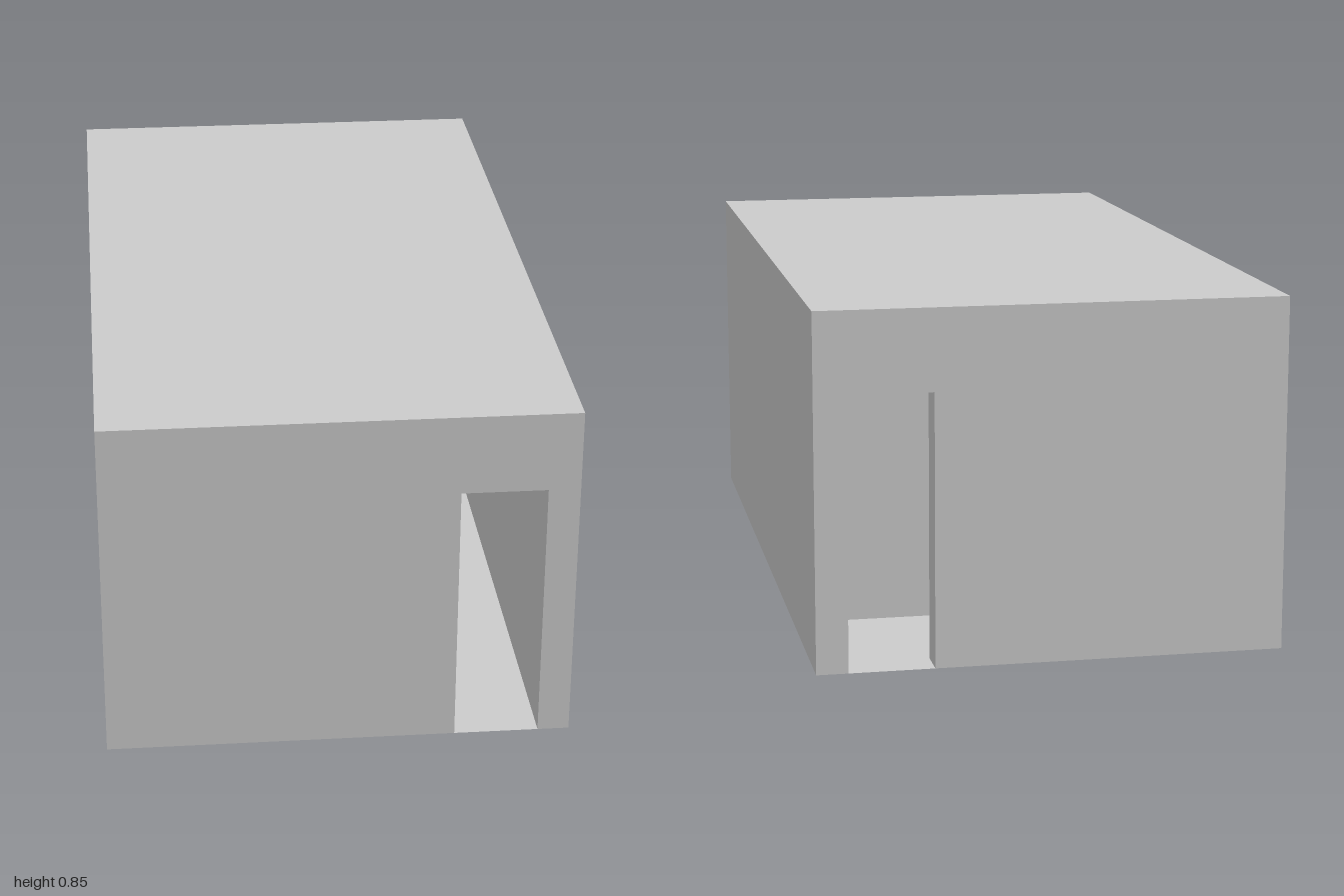
import * as THREE from 'three';

const X = 0.56, Z = 1, H = 0.853;             // outer half width, half length, height
const IX = 0.484, IZ = 0.92, CEIL = 0.832;    // inner room limits
const DOOR = 0.28, DOOR_H = 0.657;            // inner door edge and door height
const P0 = -0.57, P1 = -0.5;                  // partition faces

const material = new THREE.MeshStandardMaterial({ color: 0xcccccc, side: THREE.DoubleSide });

export function createModel() {
  const model = new THREE.Group();

  const add = (name, geometry) => {
    const mesh = new THREE.Mesh(geometry, material);
    mesh.name = name;
    model.add(mesh);
  };
  const outline = (points) =>
    new THREE.ShapeGeometry(new THREE.Shape(points.map(([a, b]) => new THREE.Vector2(a, b))));
  const rect = (a0, b0, a1, b1) => outline([[a0, b0], [a1, b0], [a1, b1], [a0, b1]]);

  // Sheet across the building at z, facing +z or -z
  const across = (name, points, z, facing) => {
    const g = outline(points);
    if (facing < 0) g.rotateY(Math.PI).scale(-1, 1, 1).index.array.reverse();
    add(name, g.translate(0, 0, z));
  };
  // Sheet along the building at x, from z0 to z1, facing +x or -x
  const along = (name, x, z0, z1, h, facing) => {
    const g = new THREE.PlaneGeometry(z1 - z0, h).rotateY(facing * Math.PI / 2);
    add(name, g.translate(x, h / 2, (z0 + z1) / 2));
  };
  // Level sheet at y, facing up or down
  const level = (name, x0, z0, x1, z1, y, facing) => {
    const g = new THREE.PlaneGeometry(x1 - x0, z1 - z0).rotateX(-facing * Math.PI / 2);
    add(name, g.translate((x0 + x1) / 2, y, (z0 + z1) / 2));
  };

  // Roof and ceiling
  level('roof', -X, -Z, X, Z, H, 1);
  level('mainCeiling', -IX, P1, IX, IZ, CEIL, -1);
  level('smallCeiling', -IX, -IZ, IX, P0, CEIL, -1);

  // Floor reaching through all three doorways, left open under the hollow walls
  const floor = outline([
    [-IX, -IZ], [DOOR, -IZ], [DOOR, -Z], [IX, -Z], [IX, P0], [-DOOR, P0],
    [-DOOR, P1], [IX, P1], [IX, Z], [DOOR, Z], [DOOR, IZ], [-IX, IZ],
  ]);
  add('floor', floor.rotateX(Math.PI / 2));

  // Side walls, outer and inner skins
  along('leftOuterWall', X, -Z, Z, H, 1);
  along('rightOuterWall', -X, -Z, Z, H, -1);
  along('rightInnerWall', -IX, -IZ, IZ, CEIL, 1);
  along('leftInnerWallMain', IX, P1, IZ, CEIL, -1);
  along('leftInnerWallSmall', IX, -IZ, P0, CEIL, -1);

  // End walls with their doorways
  for (const [end, s] of [['front', 1], ['back', -1]]) {
    across(end + 'OuterWall', [
      [-X, 0], [DOOR, 0], [DOOR, DOOR_H], [IX, DOOR_H], [IX, 0], [X, 0], [X, H], [-X, H],
    ], s * Z, s);
    across(end + 'InnerWall', [
      [-IX, 0], [DOOR, 0], [DOOR, DOOR_H], [IX, DOOR_H], [IX, CEIL], [-IX, CEIL],
    ], s * IZ, -s);
    const z0 = Math.min(s * IZ, s * Z), z1 = Math.max(s * IZ, s * Z);
    along(end + 'DoorInnerJamb', DOOR, z0, z1, DOOR_H, 1);
    along(end + 'DoorOuterJamb', IX, z0, z1, DOOR_H, -1);
    level(end + 'DoorLintel', DOOR, z0, IX, z1, DOOR_H, -1);
  }

  // Partition with a doorway at the opposite side
  for (const [z, facing] of [[P0, -1], [P1, 1]]) {
    across('partition', [
      [-DOOR, 0], [IX, 0], [IX, CEIL], [-IX, CEIL], [-IX, DOOR_H], [-DOOR, DOOR_H],
    ], z, facing);
  }
  along('partitionJamb', -DOOR, P0, P1, DOOR_H, -1);
  level('partitionLintel', -IX, P0, -DOOR, P1, DOOR_H, -1);

  return model;
}
